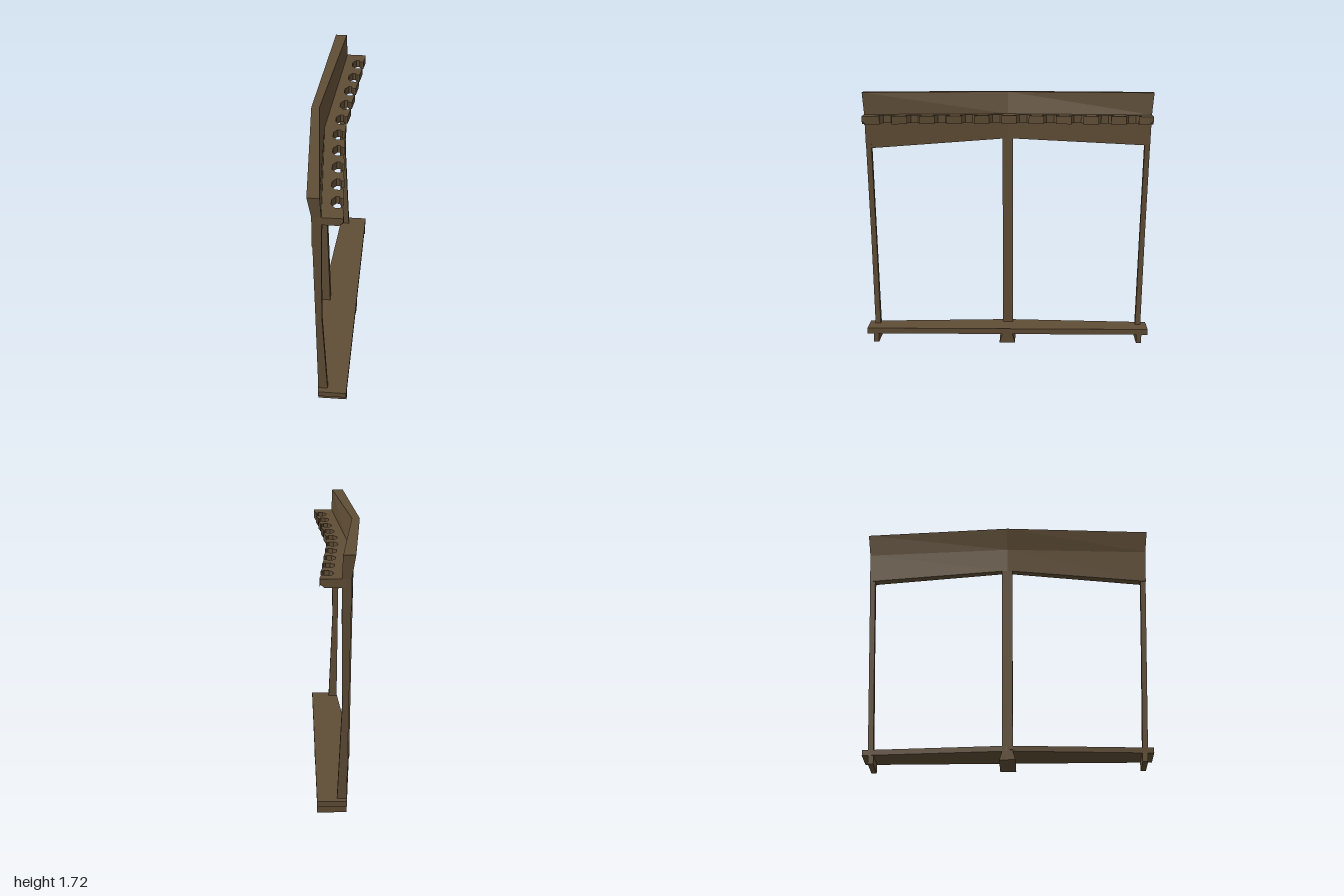
import * as THREE from 'three';

// Skin a run of matching rings (even point count) and cap both ends; flat faces
function loft(rings) {
  const pos = [];
  const n = rings[0].length;
  const quad = (a, b, c, d) => pos.push(...a, ...b, ...c, ...a, ...c, ...d);
  for (let r = 0; r < rings.length - 1; r++) {
    for (let i = 0; i < n; i++) {
      const j = (i + 1) % n;
      quad(rings[r][i], rings[r][j], rings[r + 1][j], rings[r + 1][i]);
    }
  }
  const first = rings[0], last = rings[rings.length - 1];
  for (let i = 0; i < n / 2 - 1; i++) {
    quad(first[n - 1 - i], first[n - 2 - i], first[i + 1], first[i]);
    quad(last[i], last[i + 1], last[n - 2 - i], last[n - 1 - i]);
  }
  // Turn the faces outward when the rings run the other way
  let volume = 0;
  const a = new THREE.Vector3(), b = new THREE.Vector3(), c = new THREE.Vector3();
  for (let k = 0; k < pos.length; k += 9) {
    a.fromArray(pos, k); b.fromArray(pos, k + 3); c.fromArray(pos, k + 6);
    volume += a.dot(b.cross(c));
  }
  if (volume < 0) {
    for (let k = 0; k < pos.length; k += 9) {
      for (let m = 0; m < 3; m++) {
        [pos[k + 3 + m], pos[k + 6 + m]] = [pos[k + 6 + m], pos[k + 3 + m]];
      }
    }
  }
  const geo = new THREE.BufferGeometry();
  geo.setAttribute('position', new THREE.Float32BufferAttribute(pos, 3));
  geo.computeVertexNormals();
  return geo;
}

// Rectangle ring at one height
const slab = (y, x0, x1, z0, z1) => [[x0, y, z0], [x1, y, z0], [x1, y, z1], [x0, y, z1]];

export function createModel() {
  const model = new THREE.Group();
  const wood = new THREE.MeshStandardMaterial({ color: 0x5f4d35 });
  wood.name = 'dark wood';
  const add = (name, geo) => {
    const mesh = new THREE.Mesh(geo, wood);
    mesh.name = name;
    model.add(mesh);
    return mesh;
  };

  // Bowed header board, its upper part leaning back
  const header = (s, bottom, [t0, t1, m0, m1]) => [
    [t0, 1.72, s], [m0, 1.57, s * 0.985], [m0, bottom, s * 0.977],
    [m1, bottom, s * 0.977], [m1, 1.57, s * 0.985], [t1, 1.72, s],
  ];
  const endProfile = [-0.085, -0.007, -0.06, 0];
  add('headerBoard', loft([
    header(-1, 1.36, endProfile),
    header(0, 1.4, [-0.16, -0.107, -0.12, -0.073]),
    header(1, 1.335, endProfile),
  ]));

  // Notched rack: outline in (x, z), front edge following the bow
  const edge = (z) => 0.06 + 0.072 * Math.abs(z) / 0.985;
  const notch = [
    [0, -0.038], [-0.018, -0.038], [-0.03, -0.058], [-0.05, -0.058], [-0.075, -0.025],
    [-0.075, 0.025], [-0.05, 0.058], [-0.02, 0.058], [-0.008, 0.045], [0, 0.045],
  ];
  const end = 0.985;
  const outline = [[-0.03, -end], [0.105, -end], [edge(end), -end], [edge(end), -end + 0.03]];
  for (let i = 0; i < 10; i++) {
    const zc = -0.848 + i * 0.1855;
    for (const [dx, dz] of notch) outline.push([edge(zc) + dx, zc + dz]);
  }
  outline.push([edge(end), end - 0.03], [edge(end), end], [0.105, end], [-0.03, end], [-0.1, 0]);
  const rackShape = new THREE.Shape(outline.map(([x, z]) => new THREE.Vector2(x, -z)));
  const rackGeo = new THREE.ExtrudeGeometry(rackShape, { depth: 0.055, bevelEnabled: false });
  rackGeo.rotateX(-Math.PI / 2).translate(0, 1.515, 0);
  // Chamfer the lower outer corners
  const p = rackGeo.attributes.position;
  for (let i = 0; i < p.count; i++) {
    const corner = p.getX(i) > edge(end) - 0.001 && Math.abs(p.getZ(i)) > end - 0.001;
    if (corner && p.getY(i) < 1.53) p.setY(i, 1.54);
  }
  rackGeo.computeVertexNormals();
  add('notchedRack', rackGeo);

  // Slightly bent posts: [height, back x, front x]
  add('middlePost', loft([
    [0.07, -0.094, -0.036], [0.75, -0.105, -0.055], [1.42, -0.118, -0.075],
  ].map(([y, x0, x1]) => slab(y, x0, x1, -0.036, 0.036))));
  for (const side of [-1, 1]) {
    add(side > 0 ? 'frontPost' : 'backPost', loft([
      [0.07, -0.035, 0.028], [0.75, -0.046, -0.005], [1.37, -0.057, -0.001],
    ].map(([y, x0, x1]) => {
      const z = 0.911 + 0.035 * y;
      return slab(y, x0, x1, side * (z - 0.018), side * (z + 0.018));
    })));

    // Foot under each end of the shelf
    const foot = add(side > 0 ? 'frontFoot' : 'backFoot', new THREE.BoxGeometry(0.19, 0.062, 0.036));
    foot.position.set(0.06, 0.031, side * 0.911);
  }

  // Flared middle foot
  add('middleFoot', loft([
    slab(0, -0.095, 0.155, -0.054, 0.054),
    slab(0.065, -0.095, 0.155, -0.034, 0.034),
  ]));

  // Bottom shelf, bowed along its back edge
  const shelf = (z, x0) => [[x0, 0.06, z], [0.155, 0.06, z], [0.155, 0.098, z], [x0, 0.098, z]];
  add('bottomShelf', loft([shelf(-0.972, -0.034), shelf(0, -0.095), shelf(0.972, -0.034)]));

  return model;
}
